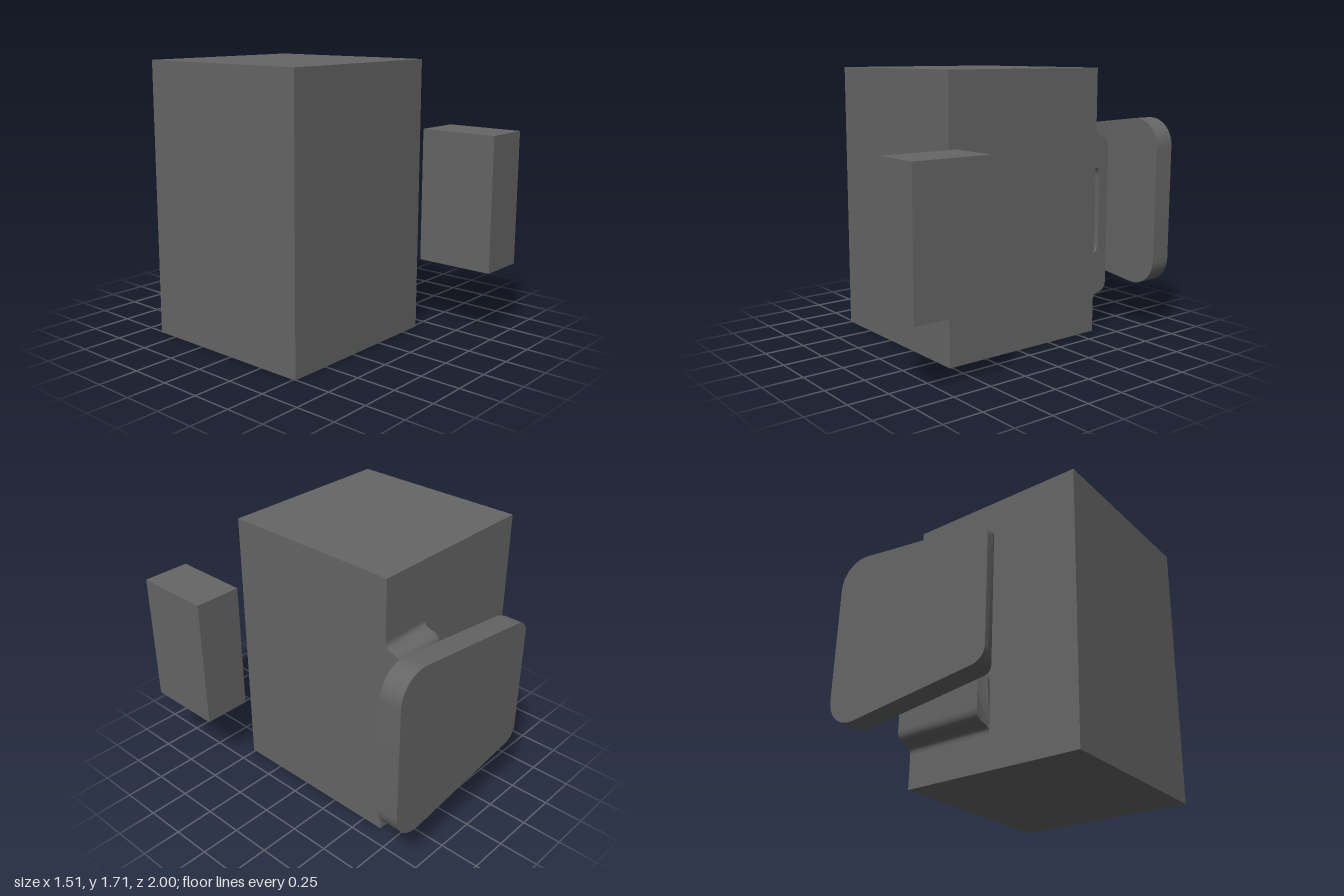
import * as THREE from 'three';
import { toCreasedNormals } from 'three/addons/utils/BufferGeometryUtils.js';

const material = new THREE.MeshStandardMaterial({ color: 0x666666 });

function addMesh(group, name, geometry) {
  const mesh = new THREE.Mesh(geometry, material);
  mesh.name = name;
  group.add(mesh);
}

// Box given by its limits on each axis
function block([x0, x1], [y0, y1], [z0, z1]) {
  return new THREE.BoxGeometry(x1 - x0, y1 - y0, z1 - z0)
    .translate((x0 + x1) / 2, (y0 + y1) / 2, (z0 + z1) / 2);
}

// Moves every vertex by a rule, then restores shading with sharp edges
function reshape(geometry, rule) {
  const p = geometry.attributes.position;
  const v = new THREE.Vector3();
  for (let i = 0; i < p.count; i++) {
    rule(v.fromBufferAttribute(p, i));
    p.setXYZ(i, v.x, v.y, v.z);
  }
  geometry.computeVertexNormals();
  return toCreasedNormals(geometry, 0.6);
}

// Edge shared by the bracket and the neck: upright at both ends, slanted between
const neckBottom = 0.55, neckTop = 1.165;
const edgeX = (y) => THREE.MathUtils.mapLinear(
  THREE.MathUtils.clamp(y, neckBottom, neckTop), neckBottom, neckTop, -0.18, 0.05);

// Bracket: side profile with flared feet and a slot against the body
function bracketGeometry() {
  const s = new THREE.Shape();
  s.moveTo(0.635, 0.21);
  s.quadraticCurveTo(0.635, 0.252, 0.69, 0.258);
  s.quadraticCurveTo(0.745, 0.265, 0.745, 0.33);
  s.lineTo(0.745, neckBottom);
  s.lineTo(0.745, neckTop);
  s.lineTo(0.745, 1.21);
  s.quadraticCurveTo(0.745, 1.27, 0.69, 1.278);
  s.quadraticCurveTo(0.635, 1.285, 0.635, 1.33);
  s.lineTo(0.635, 1.08);
  s.quadraticCurveTo(0.67, 1.07, 0.67, 1.01);
  s.lineTo(0.67, 0.59);
  s.quadraticCurveTo(0.67, 0.54, 0.635, 0.525);
  const g = new THREE.ExtrudeGeometry(s, { depth: 1, bevelEnabled: false, curveSegments: 8 });
  g.rotateY(Math.PI / 2);
  return reshape(g, (v) => { v.x = THREE.MathUtils.lerp(edgeX(v.y), 0.39, v.x); });
}

// Neck: joins bracket and plate, with a flare that shrinks towards the bottom
function neckGeometry() {
  const back = 0.865;
  const s = new THREE.Shape();
  s.moveTo(0, 0.735);
  s.lineTo(0.275, 0.735);
  s.lineTo(0.275, back);
  s.lineTo(-0.11, back);
  s.quadraticCurveTo(0, back, 0, 0.755);
  const g = new THREE.ExtrudeGeometry(s, {
    depth: neckTop - neckBottom, bevelEnabled: false, curveSegments: 10,
  });
  g.rotateX(-Math.PI / 2).translate(0, neckBottom, 0);
  return reshape(g, (v) => {
    if (v.x > 0.2) return;
    if (v.y < 0.8 && v.z < -0.745) {
      v.x *= 0.4;
      v.z = -back + (v.z + back) * 0.4;
    }
    v.x += edgeX(v.y);
  });
}

// Plate: rectangular sections along x, tapering, with rounded ends
function plateGeometry() {
  const x0 = -0.43, x1 = 0.692, midY = 0.856;
  const rBig = 0.2, rSmall = 0.08, rEdge = 0.125;
  // height lost to a rounded corner of radius r at distance d from its end
  const drop = (d, r) => (d >= r ? 0 : r - Math.sqrt(r * r - (r - d) * (r - d)));
  const n = 12, stations = [];
  for (let i = 0; i <= n; i++) stations.push(x0 + rEdge * (1 - Math.cos(i / n * Math.PI / 2)));
  for (let i = 0; i <= n; i++) stations.push(x1 - rBig + rBig * Math.sin(i / n * Math.PI / 2));

  const pos = [], index = [];
  stations.forEach((x, i) => {
    const h = 0.413 + 0.13 * (x - x0) - drop(x - x0, rSmall) - drop(x1 - x, rBig);
    const front = -0.862 - drop(x - x0, rEdge);
    pos.push(x, midY - h, -1, x, midY + h, -1, x, midY + h, front, x, midY - h, front);
    if (i === 0) return;
    for (let k = 0; k < 4; k++) {
      const a = (i - 1) * 4 + k, b = (i - 1) * 4 + (k + 1) % 4;
      index.push(a, b, b + 4, a, b + 4, a + 4);
    }
  });
  const e = (stations.length - 1) * 4;
  index.push(0, 2, 1, 0, 3, 2, e, e + 1, e + 2, e, e + 2, e + 3);
  const g = new THREE.BufferGeometry();
  g.setAttribute('position', new THREE.Float32BufferAttribute(pos, 3));
  g.setIndex(index);
  return toCreasedNormals(g, 0.6);
}

export function createModel() {
  const group = new THREE.Group();
  group.name = 'model';
  addMesh(group, 'body', block([-0.755, 0.39], [0, 1.708], [-0.635, 0.515]));
  addMesh(group, 'frontBlock', block([0.447, 0.754], [0.435, 1.275], [0.5, 1]));
  addMesh(group, 'bracket', bracketGeometry());
  addMesh(group, 'neck', neckGeometry());
  addMesh(group, 'backPlate', plateGeometry());
  return group;
}
